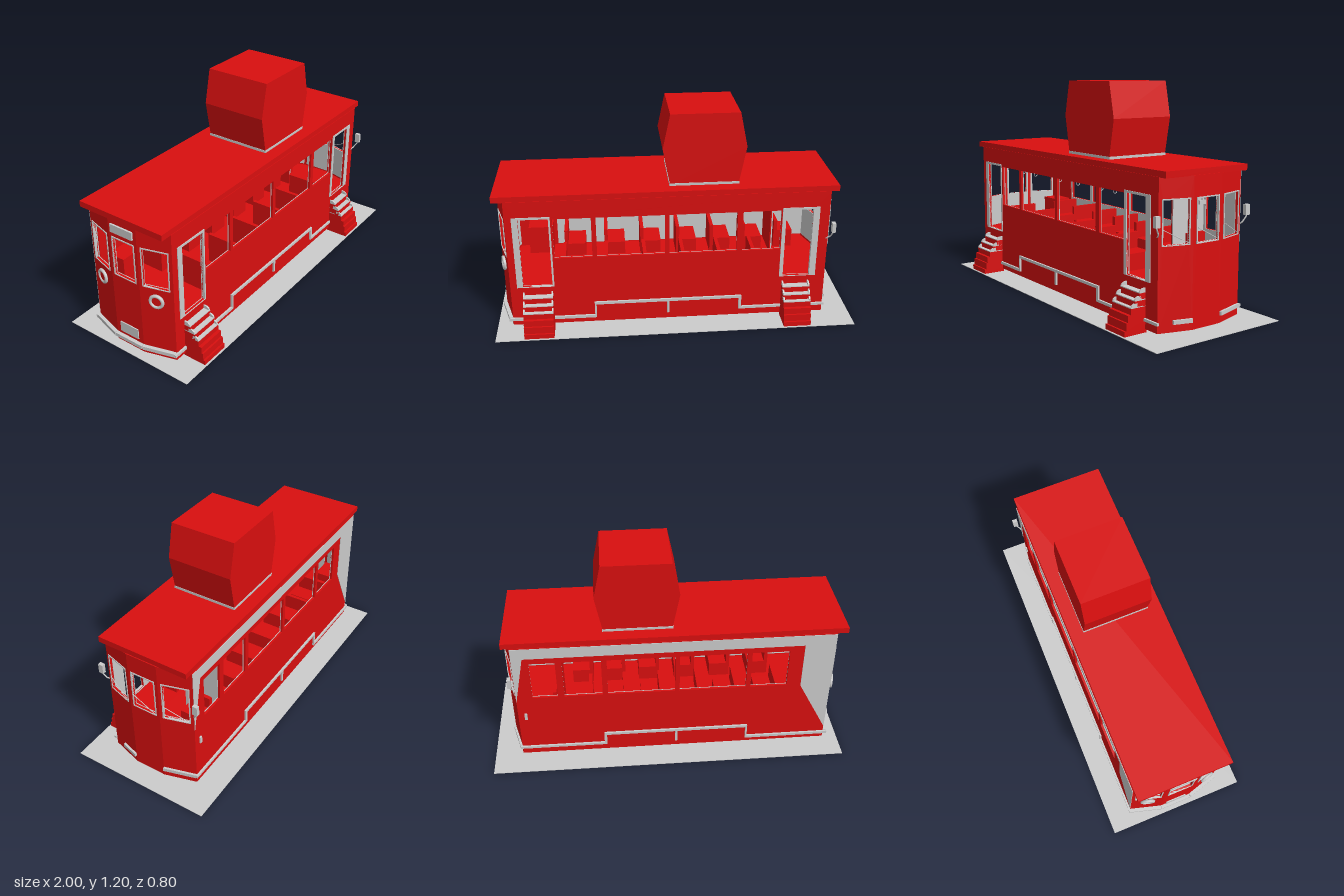
import * as THREE from 'three';

const red = new THREE.MeshStandardMaterial({ color: 0xd90f0f, side: THREE.DoubleSide });
const grey = new THREE.MeshStandardMaterial({ color: 0xcccccc, side: THREE.DoubleSide });

function add(parent, name, geometry, material, x = 0, y = 0, z = 0) {
  const m = new THREE.Mesh(geometry, material);
  m.name = name;
  m.position.set(x, y, z);
  parent.add(m);
  return m;
}

// Box given by its limits on each axis
function box(parent, name, material, x0, x1, y0, y1, z0, z1) {
  return add(parent, name, new THREE.BoxGeometry(x1 - x0, y1 - y0, z1 - z0), material,
    (x0 + x1) / 2, (y0 + y1) / 2, (z0 + z1) / 2);
}

const polygon = pts => new THREE.Shape(pts.map(p => new THREE.Vector2(p[0], p[1])));
const rect = (u0, u1, y0, y1) => [[u0, y0], [u1, y0], [u1, y1], [u0, y1]];

// Flat sheet with rectangular holes [u0, u1, y0, y1]
function sheet(parent, name, material, pts, holes, z, depth) {
  const s = polygon(pts);
  holes.forEach(h => s.holes.push(polygon(rect(...h))));
  const g = new THREE.ExtrudeGeometry(s, { depth, bevelEnabled: false });
  return add(parent, name, g, material, 0, 0, z);
}

function frame(parent, name, [u0, u1, y0, y1], l, r, t, b) {
  sheet(parent, name, grey, rect(u0 - l, u1 + r, y0 - b, y1 + t), [[u0, u1, y0, y1]], -0.012, 0.016);
}

function tube(parent, name, pts, r) {
  const path = new THREE.CurvePath();
  const v = pts.map(p => new THREE.Vector3(...p));
  for (let i = 1; i < v.length; i++) path.add(new THREE.LineCurve3(v[i - 1], v[i]));
  return add(parent, name, new THREE.TubeGeometry(path, (v.length - 1) * 4, r, 6), grey);
}

// Plan of the body, walked front, left end, back, right end
const plan = [[-0.91, 0.265], [0.84, 0.265], [0.89, 0.09], [0.89, -0.09],
  [0.84, -0.265], [-0.91, -0.265], [-0.96, -0.09], [-0.96, 0.09]];
const names = ['frontWall', 'leftEndFrontPanel', 'leftEndMiddlePanel', 'leftEndBackPanel',
  'backWall', 'rightEndBackPanel', 'rightEndMiddlePanel', 'rightEndFrontPanel'];

const windows = [[-0.66, -0.455], [-0.43, -0.06], [-0.035, 0.335], [0.365, 0.575]];
const doors = [[-0.84, -0.68], [0.60, 0.75]];

function wallHoles(i, length) {
  const y = [0.43, 0.665];
  if (i === 0) {
    return [...windows.map(w => [w[0] + 0.91, w[1] + 0.91, ...y]),
      ...doors.map(d => [d[0] + 0.91, d[1] + 0.91, 0.26, 0.668])];
  }
  if (i === 4) return [...windows, [0.61, 0.75]].map(w => [0.84 - w[1], 0.84 - w[0], ...y]);
  return [[length * 0.13, length * 0.87, 0.445, 0.66]];
}

function buildWall(i) {
  const [a, b] = [plan[i], plan[(i + 1) % 8]];
  const [dx, dz] = [b[0] - a[0], b[1] - a[1]];
  const L = Math.hypot(dx, dz);
  const g = new THREE.Group();
  g.name = names[i];
  g.position.set(a[0], 0, a[1]);
  g.rotation.y = Math.atan2(-dz, dx);
  const holes = wallHoles(i, L);
  sheet(g, 'panel', red, rect(0, L, 0.02, 0.77), holes, -0.012, 0.012);
  sheet(g, 'lining', grey, rect(0.012, L - 0.012, 0.255, 0.77), holes, -0.017, 0.004);

  if (i === 0) {
    frame(g, 'rightDoorFrame', holes[4], 0.033, 0.01, 0.012, 0.003);
    frame(g, 'leftDoorFrame', holes[5], 0.02, 0.035, 0.012, 0.003);
  } else if (i === 4) {
    // Grey upper band widening towards the right end
    sheet(g, 'upperBand', grey, [[0, 0.765], [0, 0.4], [0.06, 0.70], [1.58, 0.70],
      [1.58, 0.42], [1.75, 0.1], [1.75, 0.765]], [], 0, 0.003);
    box(g, 'handle', grey, 0.035, 0.05, 0.28, 0.32, 0, 0.008);
  } else {
    const [u0, u1, y0] = holes[0];
    frame(g, 'windowFrame', holes[0], 0.006, 0.006, 0.006, 0.004);
    if (i < 4) tube(g, 'wiper', [[u0, 0.52, 0.004], [u1, y0 + 0.005, 0.004]], 0.002);
    // Bumper bars
    if (i === 1) box(g, 'bumper', grey, 0.08, L, 0.06, 0.08, 0, 0.012);
    if (i === 3) box(g, 'bumper', grey, 0, L, 0.06, 0.08, 0, 0.012);
    if (i > 4) box(g, 'bumper', grey, 0, L, 0.05, 0.07, 0, 0.02);
    if (i === 6) {
      box(g, 'destinationBoard', grey, 0.02, L - 0.02, 0.695, 0.74, 0, 0.01);
      box(g, 'lowerPlate', grey, 0.03, L - 0.03, 0.09, 0.15, 0, 0.006);
    }
    if (i === 5 || i === 7) {
      add(g, 'headlightRing', new THREE.TorusGeometry(0.033, 0.009, 8, 20), grey, L / 2, 0.37, 0.008);
      const lens = add(g, 'headlightLens', new THREE.CylinderGeometry(0.027, 0.027, 0.012, 20), red, L / 2, 0.37, 0.004);
      lens.rotation.x = Math.PI / 2;
    }
  }
  return g;
}

// Steps: [top, front edge] per level, upper three with grey treads
function buildSteps(x0, x1) {
  const g = new THREE.Group();
  g.name = 'steps';
  const levels = [[0.03, 0.39], [0.07, 0.38], [0.105, 0.37], [0.135, 0.352], [0.168, 0.33], [0.203, 0.302]];
  levels.forEach(([top, z], k) => {
    box(g, 'step', red, x0, x1, k ? levels[k - 1][0] : 0, top, 0.258, z);
    if (k < 3) return;
    box(g, 'tread', grey, x0, x1, top, top + 0.005, 0.265, z);
    for (const x of [x0, x1 - 0.008]) {
      const s = polygon([[z - 0.04, 0], [z, 0], [z - 0.005, 0.014], [z - 0.018, 0.022], [z - 0.04, 0.024]]);
      const bracket = new THREE.ExtrudeGeometry(s, { depth: 0.008, bevelEnabled: false });
      add(g, 'treadBracket', bracket, grey, x + 0.008, top, 0).rotation.y = -Math.PI / 2;
    }
  });
  return g;
}

export function createModel() {
  const model = new THREE.Group();
  model.name = 'tramCar';

  box(model, 'ground', grey, -1, 1, 0, 0.003, -0.4, 0.4);
  for (let i = 0; i < 8; i++) model.add(buildWall(i));

  // Floor block fills the lower body
  const floorShape = polygon(plan.map(([x, z]) => [-0.035 + (x + 0.035) * 0.975, -z * 0.93]));
  const floor = add(model, 'floor', new THREE.ExtrudeGeometry(floorShape, { depth: 0.23, bevelEnabled: false }), red, 0, 0.022, 0);
  floor.rotation.x = -Math.PI / 2;

  box(model, 'roof', red, -0.97, 0.885, 0.768, 0.8, -0.262, 0.262);

  // Hexagonal roof housing on a grey base
  const hexagon = polygon([[-0.025, 0.8], [0.345, 0.8], [0.385, 1.01], [0.345, 1.2], [-0.025, 1.2], [-0.065, 1.01]]);
  add(model, 'roofHousing', new THREE.ExtrudeGeometry(hexagon, { depth: 0.374, bevelEnabled: false }), red, 0, 0, -0.187);
  box(model, 'roofHousingBase', grey, -0.03, 0.35, 0.8, 0.814, -0.189, 0.189);

  for (const d of doors) model.add(buildSteps(d[0] - 0.003, d[1]));

  // Stepped trim along both sides
  for (const z0 of [0.264, -0.276]) {
    const z1 = z0 + 0.012;
    box(model, 'sideTrim', grey, -0.93, -0.445, 0.05, 0.066, z0, z1);
    box(model, 'sideTrim', grey, -0.455, -0.445, 0.066, 0.135, z0, z1);
    box(model, 'sideTrim', grey, -0.455, 0.37, 0.133, 0.148, z0, z1);
    box(model, 'sideTrim', grey, -0.05, -0.037, 0.06, 0.135, z0, z1);
    box(model, 'sideTrim', grey, 0.355, 0.37, 0.066, 0.135, z0, z1);
    box(model, 'sideTrim', grey, 0.355, 0.85, 0.062, 0.076, z0, z1);
  }

  // Wing mirrors at the left end
  for (const s of [-1, 1]) {
    tube(model, 'mirrorArm', [[0.83, 0.485, s * 0.262], [0.85, 0.50, s * 0.272], [0.86, 0.53, s * 0.29], [0.86, 0.56, s * 0.292]], 0.004);
    box(model, 'wingMirror', grey, 0.85, 0.87, 0.538, 0.592, s * 0.291 - 0.014, s * 0.291 + 0.014);
  }

  // Seats facing along the car on both sides of the aisle
  for (const x of [-0.56, -0.33, -0.12, 0.09, 0.29, 0.48]) {
    for (const z0 of [0.07, -0.24]) {
      box(model, 'seat', red, x - 0.06, x + 0.06, 0.25, 0.34, z0, z0 + 0.17);
      box(model, 'seatBack', red, x - 0.06, x - 0.04, 0.34, 0.425, z0, z0 + 0.17);
    }
  }
  box(model, 'driverSeat', red, 0.62, 0.73, 0.25, 0.36, -0.22, -0.1);
  box(model, 'driverSeatBack', red, 0.62, 0.64, 0.36, 0.425, -0.22, -0.1);
  box(model, 'rearCabinet', red, -0.83, -0.69, 0.25, 0.42, -0.242, -0.14);
  box(model, 'rearPanel', red, -0.89, -0.67, 0.25, 0.76, -0.247, -0.243);

  // Cabin partition
  box(model, 'partition', red, 0.583, 0.59, 0.25, 0.768, -0.245, -0.035);
  box(model, 'partitionLining', grey, 0.59, 0.597, 0.25, 0.768, -0.245, -0.035);

  // Hanging straps and cabin mirror
  for (const x of [-0.52, -0.38, -0.11, 0.07, 0.29, 0.41]) {
    box(model, 'strap', grey, x - 0.003, x + 0.003, 0.655, 0.768, 0.192, 0.198);
    const loop = add(model, 'strapLoop', new THREE.TorusGeometry(0.01, 0.002, 6, 12), grey, x, 0.643, 0.195);
    loop.rotation.y = Math.PI / 2;
  }
  box(model, 'cabinMirror', grey, 0.845, 0.855, 0.62, 0.64, -0.022, 0.022);
  box(model, 'cabinMirrorStem', grey, 0.847, 0.853, 0.64, 0.768, -0.003, 0.003);

  return model;
}
